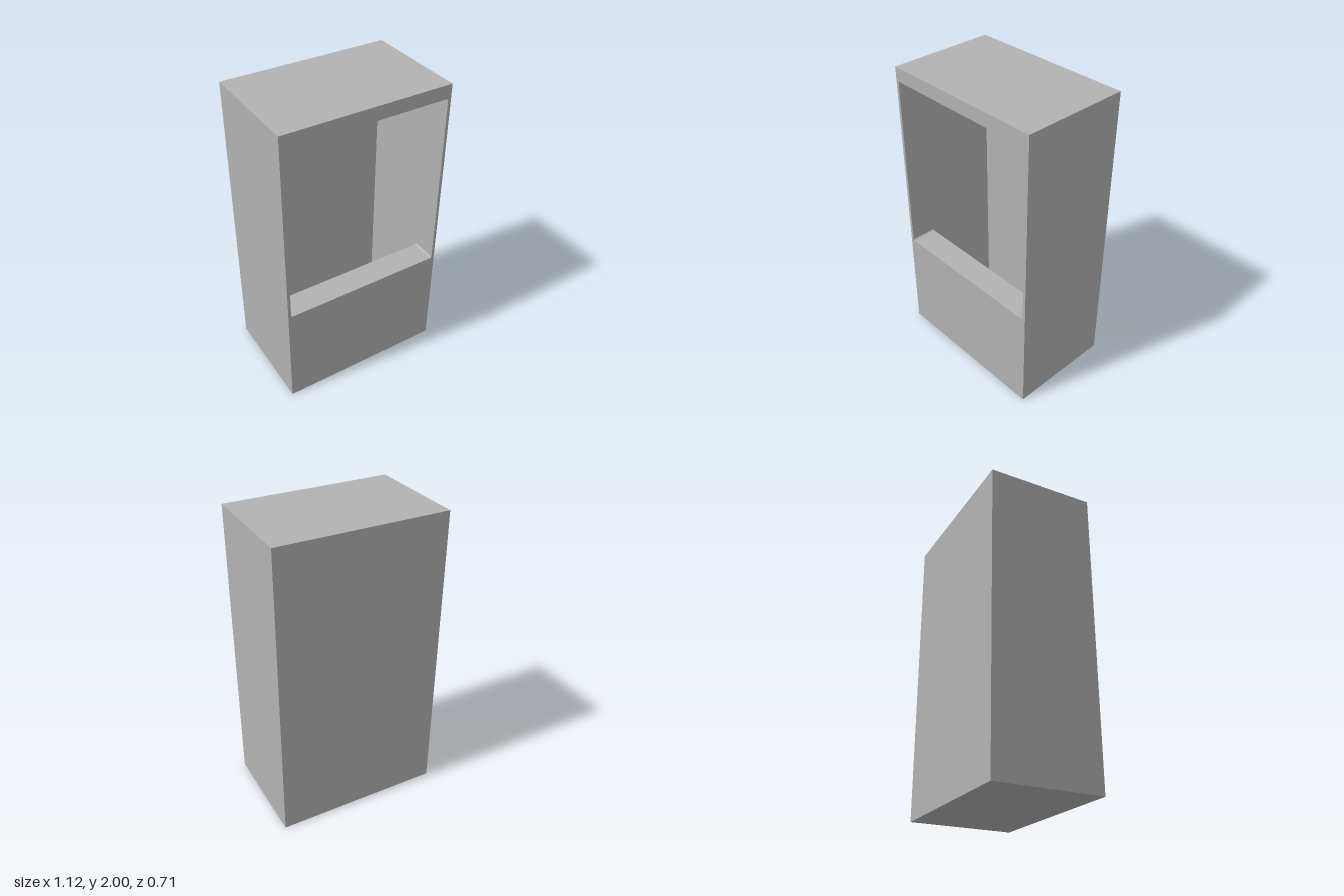
import * as THREE from 'three';

const W = 1.12, H = 2, D = 0.714, WALL = 0.02, FRONT = 0.173;

// Outline of a rectangle, optionally with rounded corners
function rectangle(PathType, x0, y0, x1, y1, r = 0) {
  const p = new PathType();
  if (r === 0) {
    p.moveTo(x0, y0).lineTo(x1, y0).lineTo(x1, y1).lineTo(x0, y1).closePath();
    return p;
  }
  p.absarc(x1 - r, y0 + r, r, -Math.PI / 2, 0);
  p.absarc(x1 - r, y1 - r, r, 0, Math.PI / 2);
  p.absarc(x0 + r, y1 - r, r, Math.PI / 2, Math.PI);
  p.absarc(x0 + r, y0 + r, r, Math.PI, Math.PI * 1.5);
  p.closePath();
  return p;
}

export function createModel() {
  const group = new THREE.Group();
  group.name = 'cabinet';
  const grey = new THREE.MeshStandardMaterial({ color: 0xb2b2b2 });
  grey.name = 'grey';

  // Full-size frame with one opening, extruded along z
  const addFrame = (name, opening, z, depth) => {
    const shape = rectangle(THREE.Shape, -W / 2, 0, W / 2, H);
    shape.holes.push(opening);
    const geometry = new THREE.ExtrudeGeometry(shape, { depth, bevelEnabled: false, curveSegments: 6 });
    const mesh = new THREE.Mesh(geometry, grey);
    mesh.name = name;
    mesh.position.z = z;
    group.add(mesh);
  };

  // Thin sides, roof and floor around the hollow interior
  addFrame('casing', rectangle(THREE.Path, -W / 2 + WALL, WALL, W / 2 - WALL, H - WALL),
    -D / 2 + WALL, D - WALL - FRONT);

  // Thick front with a large round-cornered opening whose sill forms the ledge
  addFrame('frontPanel', rectangle(THREE.Path, -0.54, 0.715, 0.54, 1.91, 0.012),
    D / 2 - FRONT, FRONT);

  // Back wall
  const back = new THREE.Mesh(new THREE.BoxGeometry(W, H, WALL), grey);
  back.name = 'backWall';
  back.position.set(0, H / 2, -D / 2 + WALL / 2);
  group.add(back);

  return group;
}
